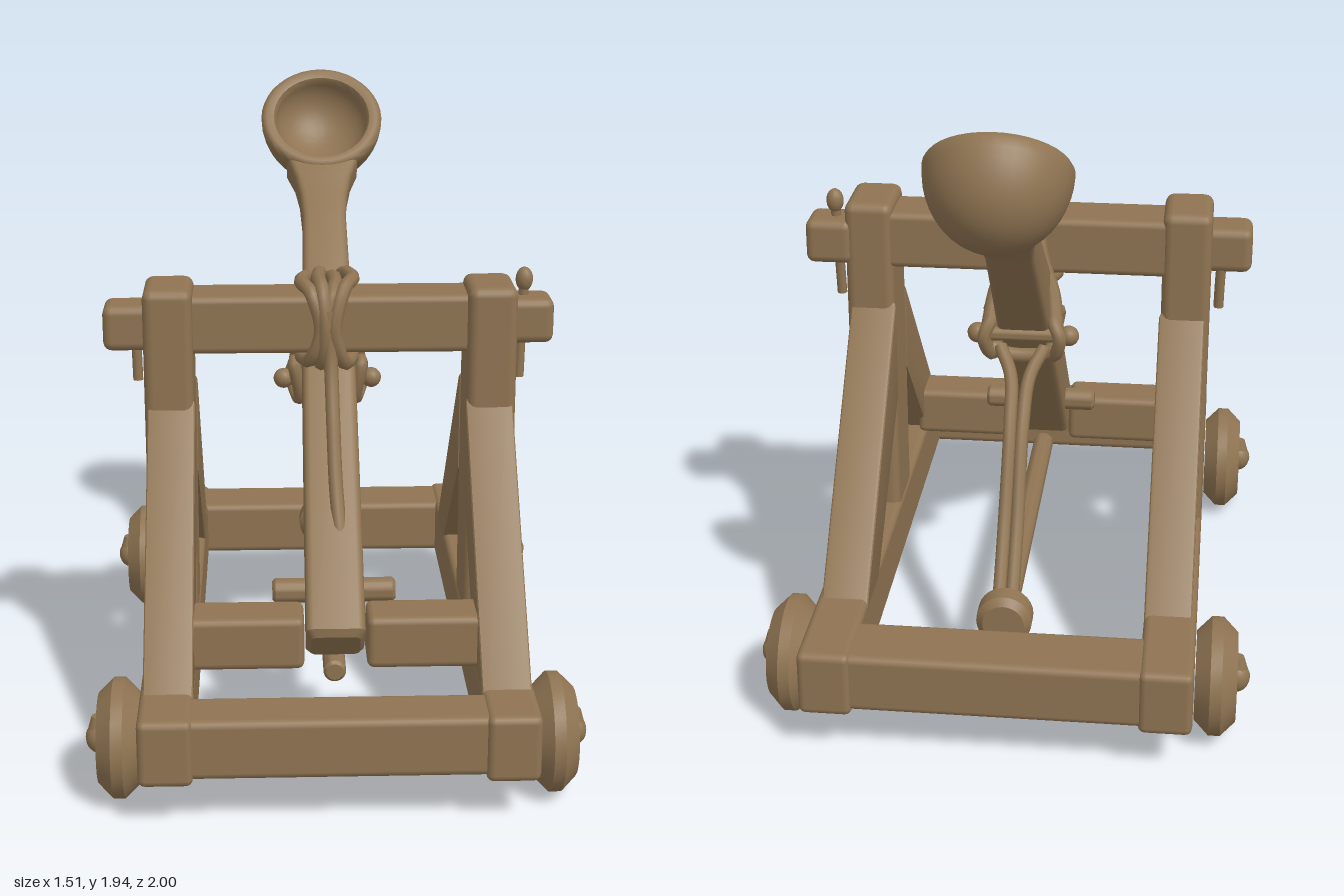
import * as THREE from 'three';
import { RoundedBoxGeometry } from 'three/addons/geometries/RoundedBoxGeometry.js';
import { toCreasedNormals } from 'three/addons/utils/BufferGeometryUtils.js';

const wood = new THREE.MeshStandardMaterial({ color: 0x8f7452 });
wood.name = 'wood brown';

function add(parent, name, geometry, x = 0, y = 0, z = 0) {
  const mesh = new THREE.Mesh(geometry, wood);
  mesh.name = name;
  mesh.position.set(x, y, z);
  parent.add(mesh);
  return mesh;
}

// Soft-edged timber given by its extents
function timber(parent, name, [x0, x1], [y0, y1], [z0, z1], r = 0.022) {
  return add(parent, name, new RoundedBoxGeometry(x1 - x0, y1 - y0, z1 - z0, 2, r),
    (x0 + x1) / 2, (y0 + y1) / 2, (z0 + z1) / 2);
}

// Rope or dowel following points
function rope(parent, name, points, r, closed = false) {
  const curve = new THREE.CatmullRomCurve3(points.map(p => new THREE.Vector3(...p)), closed);
  return add(parent, name, new THREE.TubeGeometry(curve, 40, r, 8, closed));
}

function dowel(parent, name, r, length, axis, x, y, z) {
  const b = 0.25 * r, h = length / 2;
  const profile = [[0, -h], [r - b, -h], [r, -h + b], [r, h - b], [r - b, h], [0, h]];
  const geo = new THREE.LatheGeometry(profile.map(p => new THREE.Vector2(...p)), 28);
  if (axis === 'x') geo.rotateZ(Math.PI / 2);
  if (axis === 'z') geo.rotateX(Math.PI / 2);
  return add(parent, name, toCreasedNormals(geo, 0.6), x, y, z);
}

// Sloping brace: outline in z and y, extruded across x
function brace(parent, name, outline, x0, x1) {
  const bevel = 0.012;
  const shape = new THREE.Shape(outline.map(([z, y]) => new THREE.Vector2(-z, y)));
  const geo = new THREE.ExtrudeGeometry(shape, {
    depth: x1 - x0 - 2 * bevel, bevelThickness: bevel, bevelSize: bevel,
    bevelOffset: -bevel, bevelSegments: 2,
  });
  geo.rotateY(Math.PI / 2);
  return add(parent, name, toCreasedNormals(geo, 0.6), x0 + bevel, 0, 0);
}

// Tapered beam along y from sections [y, zLow, zHigh, halfWidth] with rounded corners
function taperedBeam(sections) {
  const pos = [], index = [], r = 0.022, n = 16;
  for (const [y, z0, z1, w] of sections) {
    for (let k = 0; k < n; k++) {
      const corner = Math.floor(k / 4);
      const a = corner * Math.PI / 2 + (k % 4) * Math.PI / 6;
      const sx = corner === 0 || corner === 3 ? 1 : -1, sz = corner < 2 ? 1 : -1;
      pos.push(sx * (w - r) + r * Math.cos(a), y,
        (z0 + z1) / 2 + sz * ((z1 - z0) / 2 - r) + r * Math.sin(a));
    }
  }
  for (let i = 0; i < sections.length - 1; i++) {
    for (let k = 0; k < n; k++) {
      const a = i * n + k, b = i * n + (k + 1) % n;
      index.push(a, a + n, b, b, a + n, b + n);
    }
  }
  for (let k = 1; k < n - 1; k++) index.push(0, k, k + 1);
  const geo = new THREE.BufferGeometry();
  geo.setAttribute('position', new THREE.Float32BufferAttribute(pos, 3));
  geo.setIndex(index);
  return toCreasedNormals(geo, 0.6);
}

export function createModel() {
  const model = new THREE.Group();
  model.name = 'catapult';

  // Base frame
  timber(model, 'frontBeam', [-0.45, 0.45], [0.16, 0.345], [0.81, 0.985]);
  timber(model, 'rearBeam', [-0.45, 0.45], [0.16, 0.345], [-0.99, -0.78]);
  for (const s of [-1, 1]) {
    const side = new THREE.Group();
    side.name = s > 0 ? 'leftSide' : 'rightSide';
    model.add(side);
    const span = (a, b) => s > 0 ? [a, b] : [-b, -a];

    timber(side, 'sideRail', span(0.425, 0.585), [0.145, 0.352], [-1, 1]);
    timber(side, 'post', span(0.43, 0.585), [0.18, 1.415], [-0.045, 0.195], 0.03);
    brace(side, 'frontBrace', [[0.83, 0.33], [0.57, 0.33], [0.17, 0.76], [0.17, 1.06]], ...span(0.427, 0.575));
    brace(side, 'rearBrace', [[-0.03, 1.08], [-0.03, 0.75], [-0.48, 0.32], [-0.7, 0.32]], ...span(0.425, 0.57));

    // Wheels with hub pins
    for (const z of [0.745, -0.72]) {
      dowel(side, 'wheel', 0.18, 0.125, 'x', s * 0.65, 0.182, z);
      const hub = add(side, 'hubPin', new THREE.SphereGeometry(0.043, 16, 12), s * 0.71, 0.185, z);
      hub.scale.set(1, 1.15, 1);
      add(side, 'hubPinTip', new THREE.CylinderGeometry(0.018, 0.035, 0.06, 12), s * 0.715, 0.225, z);
    }

    // Crossbeam tenon and its locking pin
    const shift = s > 0 ? -0.05 : 0;
    timber(side, 'beamEnd', span(0.56, 0.712), [1.21, 1.355], [shift, shift + 0.15], 0.028);
    const pinTop = s > 0 ? 1.4 : 1.3;
    rope(side, 'lockingPin', [[s * 0.612, 1.085, 0.03], [s * 0.615, 1.2, 0.025], [s * 0.622, pinTop, 0.02]], 0.016);
    if (s > 0) add(side, 'lockingPinHead', new THREE.SphereGeometry(0.028, 14, 10), 0.622, 1.405, 0.02).scale.y = 1.4;

    // Lower cross bar, one half on each side of the arm
    timber(side, 'lowerCrossBar', span(0.095, 0.45), [0.35, 0.515], [0.495, 0.655]);
  }

  // Upper crossbeam
  timber(model, 'crossBeam', [-0.46, 0.46], [1.2, 1.385], [-0.035, 0.155]);

  // Throwing arm, leaning back at 45 degrees: local y along the arm, z upward
  const arm = new THREE.Group();
  arm.name = 'throwingArm';
  arm.rotation.x = -Math.PI / 4;
  model.add(arm);
  add(arm, 'armBeam', taperedBeam([
    [-0.145, 0.655, 0.8, 0.075], [-0.125, 0.636, 0.82, 0.09], [0.8, 0.636, 0.835, 0.085],
    [1.38, 0.636, 0.775, 0.073], [1.48, 0.63, 0.755, 0.08],
    [1.56, 0.615, 0.742, 0.095], [1.645, 0.58, 0.73, 0.122],
  ]));

  // Hollow spoon bowl
  const profile = [];
  for (let i = 0; i <= 12; i++) {
    const a = i / 12 * Math.PI / 2;
    profile.push(new THREE.Vector2(0.21 * Math.sin(a), -0.24 * Math.cos(a)));
  }
  profile.push(new THREE.Vector2(0.204, 0.01), new THREE.Vector2(0.19, 0.016), new THREE.Vector2(0.167, 0.01));
  for (let i = 0; i <= 10; i++) {
    const a = (1 - i / 10) * Math.PI / 2;
    profile.push(new THREE.Vector2(0.16 * Math.sin(a), -0.13 * Math.cos(a)));
  }
  const bowlGeo = new THREE.LatheGeometry(profile, 40);
  bowlGeo.rotateX(Math.PI / 2);
  add(arm, 'bowl', toCreasedNormals(bowlGeo, 0.7), 0, 1.81, 0.725);

  // Dowels through the arm
  dowel(model, 'armStop', 0.038, 0.38, 'x', 0, 0.53, 0.46);
  dowel(model, 'ropePeg', 0.024, 0.3, 'x', 0, 1.035, -0.14);
  for (const s of [-1, 1]) {
    add(model, 'ropePegKnob', new THREE.SphereGeometry(0.033, 14, 10), s * 0.145, 1.035, -0.14);
    rope(model, 'pegLashing', [[s * 0.1, 1.09, -0.16], [s * 0.12, 1.04, -0.185], [s * 0.1, 0.97, -0.15],
      [s * 0.09, 0.98, -0.11], [s * 0.11, 1.1, -0.09]], 0.022, true);
    // Rope from the crossbeam down to the peg
    rope(model, 'pegRope', [[s * 0.03, 1.39, -0.02], [s * 0.05, 1.27, -0.07], [s * 0.09, 1.16, -0.11],
      [s * 0.105, 1.07, -0.16]], 0.026);
    // Twin ropes down to the rear
    rope(model, 'rearRope', [[s * 0.07, 1.0, -0.16], [s * 0.03, 0.93, -0.23], [s * 0.02, 0.82, -0.34],
      [s * 0.02, 0.55, -0.51], [s * 0.02, 0.38, -0.65]], 0.021);
  }
  rope(model, 'underArmRope', [[-0.1, 0.99, -0.15], [-0.05, 0.97, -0.15], [0.05, 0.97, -0.15], [0.1, 0.99, -0.15]], 0.024);

  // Rope loops around the crossbeam
  for (let i = 0; i < 4; i++) {
    const x = -0.06 + i * 0.034, d = 0.012 * (i % 2), t = 0.02 * (i - 1.5);
    rope(model, 'beamLashing', [[x, 1.4 + d, -0.03], [x + t, 1.415 + d, 0.08], [x, 1.4 + d, 0.165],
      [x - t, 1.29, 0.19 + d], [x, 1.19 - d, 0.17], [x + t, 1.175, 0.06], [x, 1.2, -0.05],
      [x - t, 1.29, -0.06]], 0.023, true);
  }
  // Loose rope end hanging onto the arm
  rope(model, 'hangingRope', [[-0.01, 1.35, 0.195], [0, 1.18, 0.21], [0.005, 1.0, 0.285],
    [0.01, 0.84, 0.36], [0.02, 0.71, 0.43]], 0.022);

  // Low rod with its rope drum
  dowel(model, 'rodDrum', 0.085, 0.1, 'z', 0, 0.325, -0.68);
  const rod = dowel(model, 'lowRod', 0.035, 1.26, 'z', 0, 0.315, -0.06);
  rod.rotation.x = 0.02;

  return model;
}
